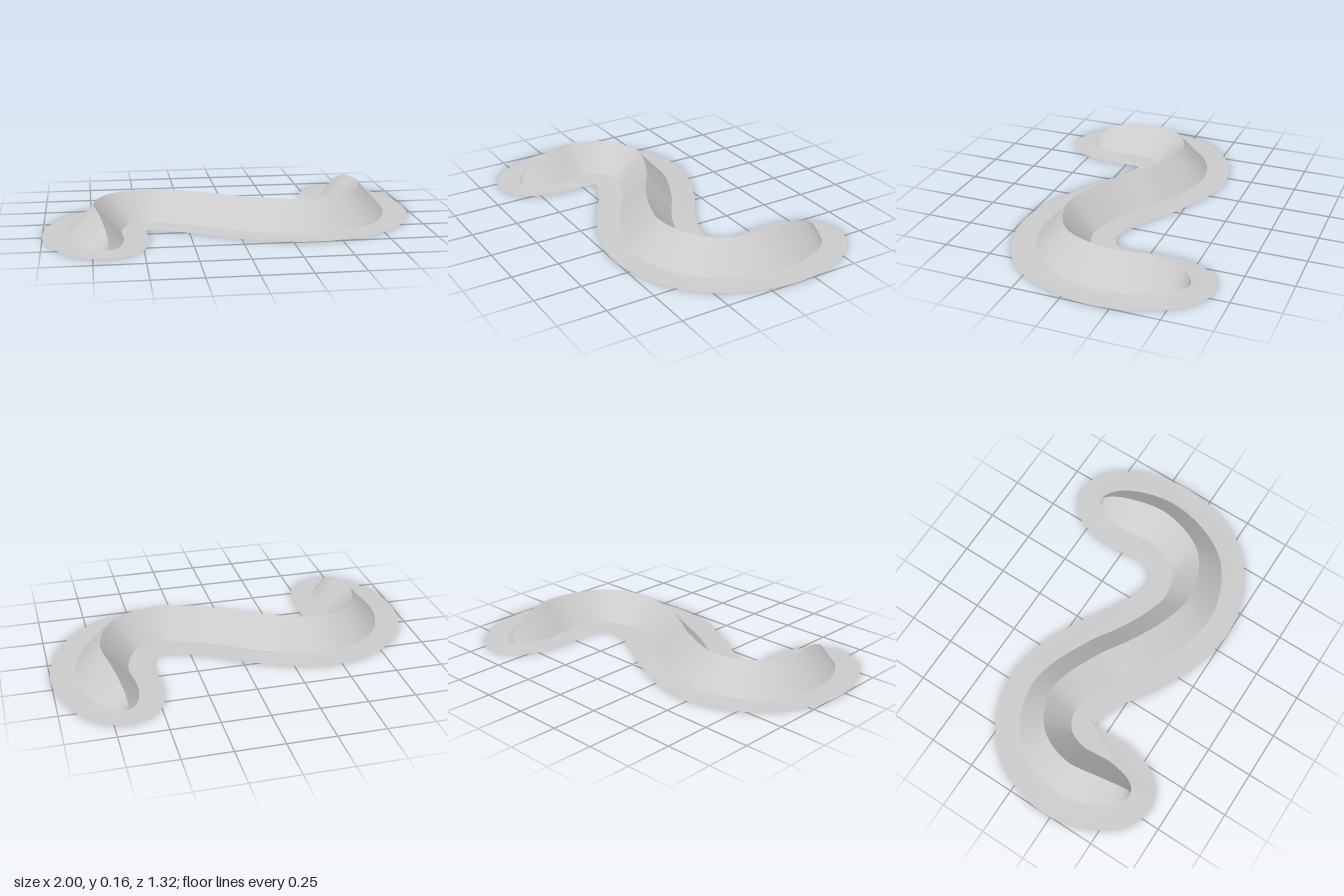
import * as THREE from 'three';

const HALF = 0.138, HEIGHT = 0.15, LIFT = 0.005, APRON = 0.128, TAPER = 0.3;
const material = new THREE.MeshStandardMaterial({ color: 0xcccccc, side: THREE.DoubleSide });

// Winding crest line, seen in plan (x, z)
const path = new THREE.CatmullRomCurve3([
  [-0.67, 0.53], [-0.71, 0.37], [-0.735, 0.17], [-0.65, -0.015], [-0.45, -0.097],
  [-0.18, -0.005], [0, 0.105], [0.19, 0.195], [0.385, 0.235],
  [0.625, 0.135], [0.733, -0.12], [0.705, -0.35], [0.66, -0.53],
].map(([x, z]) => new THREE.Vector3(x, 0, z)));
path.arcLengthDivisions = 600;

// Cross-sections along the path; both ends taper as quarter ellipses
function makeSections() {
  const length = path.getLength(), ends = 14, middle = 70, stations = [];
  for (let i = 0; i < ends; i++) {
    const a = (i / ends) * Math.PI / 2;
    stations.push([TAPER * (1 - Math.cos(a)), Math.sin(a)]);
  }
  const tail = stations.map(([d, s]) => [length - d, s]).reverse();
  for (let i = 0; i <= middle; i++) stations.push([TAPER + (length - 2 * TAPER) * i / middle, 1]);
  stations.push(...tail);
  return stations.map(([d, s]) => {
    const u = d / length, p = path.getPointAt(u), t = path.getTangentAt(u);
    const side = new THREE.Vector3(t.z, 0, -t.x).normalize().multiplyScalar(HALF * s);
    p.y = LIFT;
    return {
      a: p.clone().add(side),
      b: p.clone().sub(side),
      crest: p.clone().setY(LIFT + HEIGHT * s),
    };
  });
}

// Smooth strip between two rows of points
function strip(rowA, rowB) {
  const positions = [], index = [];
  rowA.forEach((p, i) => {
    positions.push(...p.toArray(), ...rowB[i].toArray());
    if (i) {
      const k = 2 * i;
      index.push(k - 2, k, k - 1, k, k + 1, k - 1);
    }
  });
  const g = new THREE.BufferGeometry();
  g.setAttribute('position', new THREE.Float32BufferAttribute(positions, 3));
  g.setIndex(index);
  g.computeVertexNormals();
  return g;
}

// Flat skirt: the ridge outline pushed outwards, with the ridge footprint cut out
function makeApron(sections) {
  const base = [
    ...sections.map((s) => s.a),
    ...sections.slice(1, -1).reverse().map((s) => s.b),
  ].map((p) => new THREE.Vector2(p.x, -p.z));
  const sign = THREE.ShapeUtils.isClockWise(base) ? -1 : 1;
  const n = base.length;
  const outer = base.map((p, i) => {
    const t = base[(i + 1) % n].clone().sub(base[(i + n - 1) % n]).normalize();
    return new THREE.Vector2(p.x + sign * t.y * APRON, p.y - sign * t.x * APRON);
  }).filter((q) => base.every((p) => p.distanceTo(q) > APRON - 0.004)); // drop folds at inner bends
  const shape = new THREE.Shape(outer);
  shape.holes.push(new THREE.Path(base));
  const g = new THREE.ShapeGeometry(shape);
  g.rotateX(-Math.PI / 2);
  // Lift the inner rim so that the skirt slopes very slightly
  const pos = g.attributes.position;
  for (let i = 0; i < pos.count; i++) pos.setY(i, i < pos.count - n ? 0 : LIFT);
  g.computeVertexNormals();
  return g;
}

export function createModel() {
  const group = new THREE.Group();
  group.name = 'windingRidge';
  const sections = makeSections();
  const row = (key) => sections.map((s) => s[key]);
  const add = (name, geometry) => {
    const mesh = new THREE.Mesh(geometry, material);
    mesh.name = name;
    group.add(mesh);
  };
  // Two slopes meeting at a sharp crest
  add('slopeA', strip(row('a'), row('crest')));
  add('slopeB', strip(row('crest'), row('b')));
  add('apron', makeApron(sections));
  return group;
}
